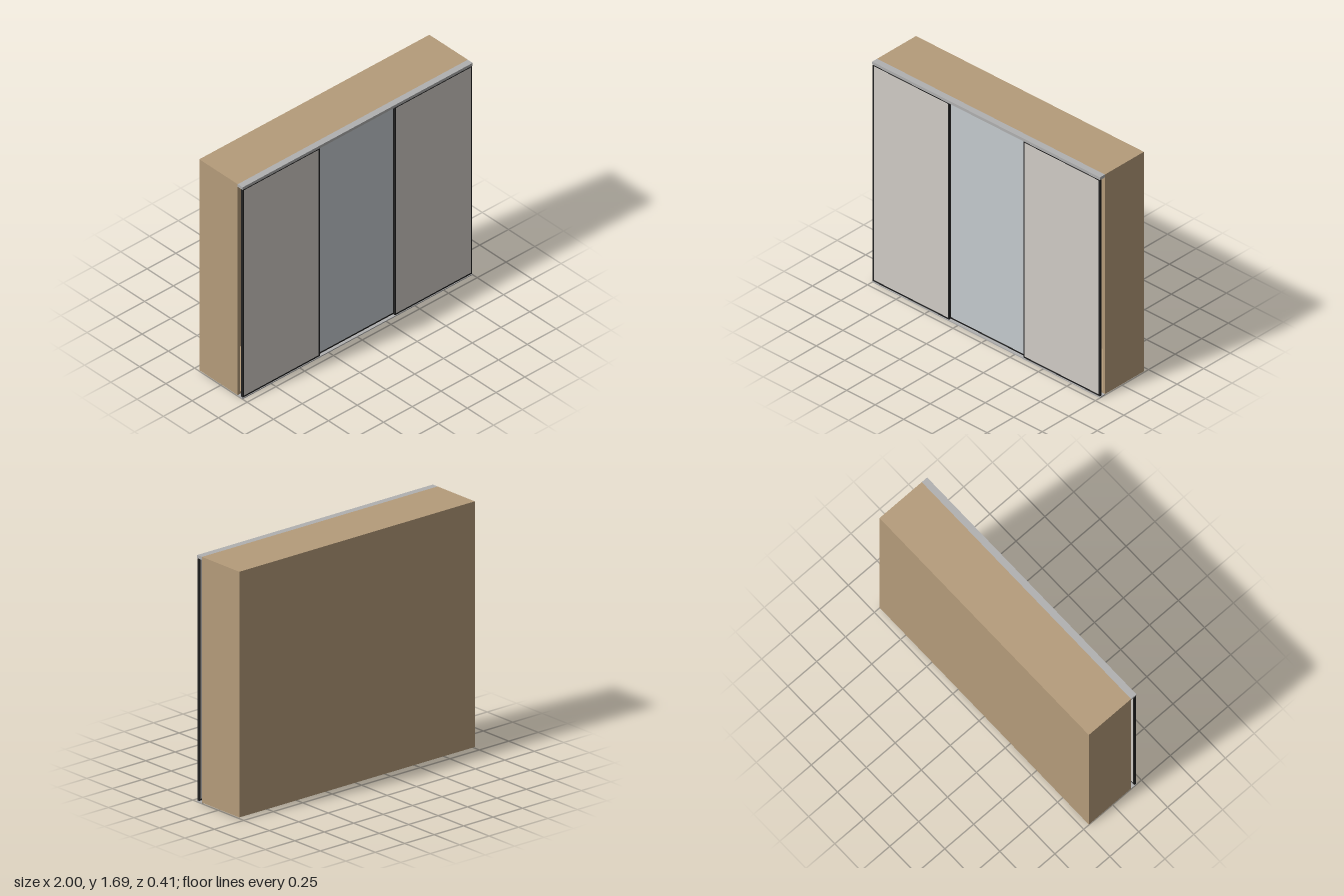
import * as THREE from 'three';

const mat = (color) => new THREE.MeshStandardMaterial({ color });

export function createModel() {
  const model = new THREE.Group();
  model.name = 'slidingDoorWardrobe';

  const wood = mat(0xb49b7a);
  const metal = mat(0xb0b0b0);
  const black = mat(0x202020);
  const beige = mat(0xd0ccc6);
  const mirror = mat(0xc4cace);

  // Box given by its lower and upper limits on each axis
  const box = (parent, name, material, [x0, x1], [y0, y1], [z0, z1]) => {
    const mesh = new THREE.Mesh(new THREE.BoxGeometry(x1 - x0, y1 - y0, z1 - z0), material);
    mesh.position.set((x0 + x1) / 2, (y0 + y1) / 2, (z0 + z1) / 2);
    mesh.name = name;
    parent.add(mesh);
  };

  // Carcass: hollow cabinet, open to the front
  const carcass = new THREE.Group();
  carcass.name = 'carcass';
  model.add(carcass);
  const T = 0.018, bottom = 0.008, top = 1.688, back = -0.206, front = 0.16;
  const inner = [bottom + T, top - T];
  const depth = [back + 0.006, front];
  box(carcass, 'backPanel', wood, [-1, 1], [bottom, top], [back, back + 0.006]);
  box(carcass, 'bottomPanel', wood, [-1, 1], [bottom, bottom + T], depth);
  box(carcass, 'topPanel', wood, [-1, 1], [top - T, top], depth);
  for (const s of [-1, 1]) {
    const outer = s * (1 - T / 2);
    box(carcass, s > 0 ? 'leftSide' : 'rightSide', wood, [outer - T / 2, outer + T / 2], inner, depth);
    const x = s * 0.33;
    box(carcass, s > 0 ? 'leftDivider' : 'rightDivider', wood, [x - T / 2, x + T / 2], inner, depth);
  }

  // Sliding tracks in front of the carcass
  box(model, 'topTrack', metal, [-1, 1], [1.667, top], [front, 0.207]);
  box(model, 'bottomTrack', metal, [-1, 1], [0, 0.008], [front, 0.207]);

  // Door: thin black frame around a slightly recessed panel
  const addDoor = (name, x0, x1, z0, panelMaterial) => {
    const door = new THREE.Group();
    door.name = name;
    model.add(door);
    const F = 0.01, y0 = 0.01, y1 = 1.664, z = [z0, z0 + 0.015];
    box(door, 'frameStile', black, [x0, x0 + F], [y0, y1], z);
    box(door, 'frameStile', black, [x1 - F, x1], [y0, y1], z);
    box(door, 'frameRail', black, [x0 + F, x1 - F], [y0, y0 + F], z);
    box(door, 'frameRail', black, [x0 + F, x1 - F], [y1 - F * 0.6, y1], z);
    box(door, 'doorPanel', panelMaterial, [x0 + F, x1 - F], [y0 + F, y1 - F * 0.6], [z0 + 0.003, z0 + 0.013]);
  };
  addDoor('rightDoor', -0.997, -0.326, 0.19, beige);
  addDoor('leftDoor', 0.326, 0.997, 0.19, beige);
  addDoor('middleDoor', -0.336, 0.336, 0.172, mirror);

  return model;
}
